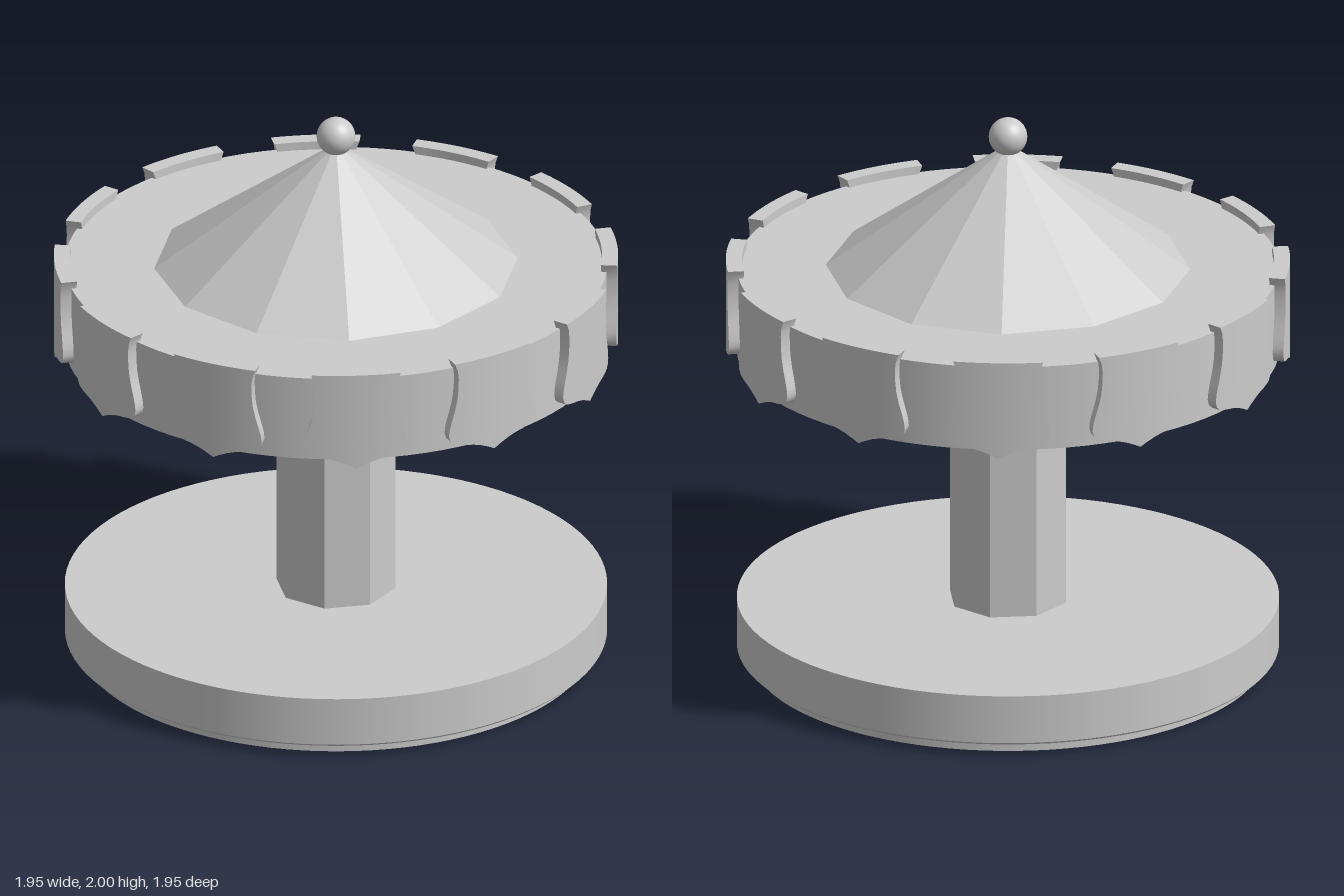
import * as THREE from 'three';

const smooth = new THREE.MeshStandardMaterial({ color: 0xcccccc });
const faceted = new THREE.MeshStandardMaterial({ color: 0xcccccc, flatShading: true });

// Upright cylinder or frustum between two heights
function drum(name, rTop, rBottom, y0, y1, sides, material) {
  const mesh = new THREE.Mesh(new THREE.CylinderGeometry(rTop, rBottom, y1 - y0, sides), material);
  mesh.position.y = (y0 + y1) / 2;
  mesh.name = name;
  return mesh;
}

// Shield-shaped panel: half width at each height, bent around the canopy rim
function panelGeometry() {
  const profile = [
    [0.155, 1.477], [0.145, 1.452], [0.141, 1.42], [0.142, 1.38], [0.146, 1.34],
    [0.155, 1.30], [0.167, 1.26], [0.175, 1.23], [0.178, 1.205], [0.172, 1.185],
    [0.157, 1.171], [0.125, 1.163], [0.085, 1.156], [0.055, 1.147], [0.025, 1.134], [0.002, 1.122],
  ];
  const inner = 0.92, outer = 0.976, rows = profile.length - 1;
  const geo = new THREE.BoxGeometry(1, 1, 1, 12, rows, 1);
  const p = geo.attributes.position;
  for (let i = 0; i < p.count; i++) {
    const [half, y] = profile[Math.round((0.5 - p.getY(i)) * rows)];
    const angle = (2 * p.getX(i) * half) / 0.965;
    const r = p.getZ(i) > 0 ? outer : inner;
    p.setXYZ(i, r * Math.sin(angle), y, r * Math.cos(angle));
  }
  geo.computeVertexNormals();
  return geo;
}

export function createModel() {
  const model = new THREE.Group();
  model.name = 'carousel';

  // Round platform on a slightly smaller foot
  model.add(
    drum('foot', 0.89, 0.89, 0, 0.046, 96, smooth),
    drum('platformLowerBevel', 0.938, 0.93, 0.04, 0.048, 96, smooth),
    drum('platform', 0.938, 0.938, 0.048, 0.222, 96, smooth),
  );

  // Octagonal column flaring out under the canopy
  model.add(
    drum('column', 0.21, 0.21, 0.2, 0.97, 8, faceted),
    drum('columnFlare', 0.385, 0.21, 0.97, 1.145, 8, faceted),
  );

  // Canopy disc, twelve-sided roof and ball finial
  model.add(
    drum('canopy', 0.938, 0.938, 1.14, 1.447, 96, smooth),
    drum('roof', 0.001, 0.64, 1.44, 1.905, 12, faceted),
  );
  const finial = new THREE.Mesh(new THREE.SphereGeometry(0.067, 32, 20), smooth);
  finial.position.y = 1.933;
  finial.name = 'finial';
  model.add(finial);

  // Twelve shield panels around the rim
  const panels = new THREE.Group();
  panels.name = 'rimPanels';
  const geo = panelGeometry();
  for (let i = 0; i < 12; i++) {
    const panel = new THREE.Mesh(geo, smooth);
    panel.rotation.y = (i * Math.PI) / 6;
    panel.name = 'rimPanel';
    panels.add(panel);
  }
  model.add(panels);

  return model;
}
